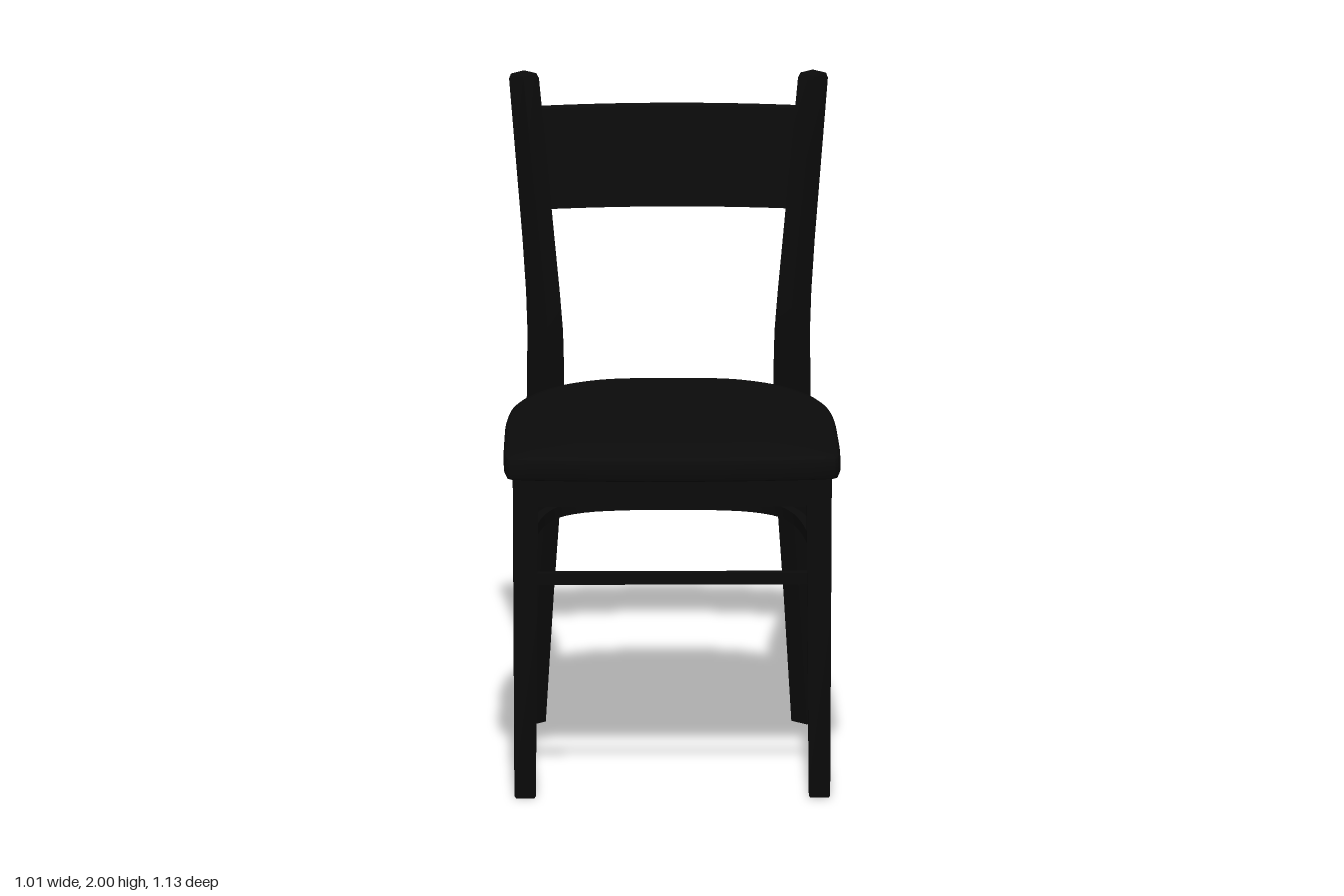
import * as THREE from 'three';
import { toCreasedNormals } from 'three/addons/utils/BufferGeometryUtils.js';

const V = (x, y, z) => new THREE.Vector3(x, y, z);

// Skin a list of equal-sized rings and cap both ends
function loft(rings, crease = 0.6) {
  const pos = [];
  const tri = (...pts) => pts.forEach(p => pos.push(p.x, p.y, p.z));
  const n = rings[0].length;
  const centre = r => r.reduce((s, p) => s.add(p), V(0, 0, 0)).divideScalar(n);
  const first = rings[0], last = rings[rings.length - 1];
  const c0 = centre(first), c1 = centre(last);
  for (let j = 0; j < n; j++) {
    const k = (j + 1) % n;
    for (let i = 0; i < rings.length - 1; i++) {
      const a = rings[i], b = rings[i + 1];
      tri(a[j], a[k], b[k]);
      tri(a[j], b[k], b[j]);
    }
    tri(c0, first[k], first[j]);
    tri(c1, last[j], last[k]);
  }
  const g = new THREE.BufferGeometry();
  g.setAttribute('position', new THREE.Float32BufferAttribute(pos, 3));
  return toCreasedNormals(g, crease);
}

// Rectangular post through stations [y, x, z, width, depth], turned about y
function post(stations, turn) {
  const axis = V(0, 1, 0);
  return loft(stations.map(([y, x, z, w, d]) =>
    [[-1, 1], [1, 1], [1, -1], [-1, -1]].map(([sx, sz]) =>
      V(sx * w / 2, 0, sz * d / 2).applyAxisAngle(axis, turn).add(V(x, y, z)))), 0.4);
}

// Flat-sided rail swept along a level curve
function rail(curve, steps, width, height) {
  const rings = [];
  for (let i = 0; i <= steps; i++) {
    const p = curve.getPointAt(i / steps);
    const across = V(0, 1, 0).cross(curve.getTangentAt(i / steps)).normalize();
    rings.push([[-1, -1], [1, -1], [1, 1], [-1, 1]].map(([a, b]) =>
      p.clone().addScaledVector(across, a * width / 2).add(V(0, b * height / 2, 0))));
  }
  return loft(rings);
}

// Smooth level curve through half a plan [x, z], mirrored about a middle point on x = 0
function mirroredCurve(half, middleZ, y) {
  const pts = [...half, [0, middleZ], ...half.map(([x, z]) => [-x, z]).reverse()];
  return new THREE.CatmullRomCurve3(pts.map(([x, z]) => V(x, y, z)), false, 'centripetal');
}

// Plan outline of the seat as [x, z], running from front left round the back to front right
function seatOutline() {
  const half = [[0.49, 0.54], [0.5, 0.525], [0.5, 0.2], [0.49, 0], [0.467, -0.14],
    [0.425, -0.25], [0.348, -0.36], [0.25, -0.43], [0.16, -0.46]];
  const out = mirroredCurve(half, -0.465, 0).getPoints(72).map(p => [p.x, p.z]);
  for (let i = 1; i < 12; i++) {
    const x = -0.49 + 0.98 * i / 12;
    out.push([x, 0.567 - 0.027 * (x / 0.49) ** 2]);
  }
  return out;
}

export function createModel() {
  const chair = new THREE.Group();
  chair.name = 'chair';
  const material = new THREE.MeshStandardMaterial({ color: 0x0b0b0b });
  const add = (name, geometry) => {
    const mesh = new THREE.Mesh(geometry, material);
    mesh.name = name;
    chair.add(mesh);
  };

  // Seat: rounded rim with a gently crowned top
  const outline = seatOutline();
  const seatRings = [[0.97, 0.985], [0.992, 0.99], [1, 1.0], [1, 1.04], [0.993, 1.051],
    [0.975, 1.058], [0.93, 1.062], [0.6, 1.07], [0.2, 1.073]];
  add('seat', loft(seatRings.map(([s, y]) =>
    outline.map(([x, z]) => V(x * s, y, 0.05 + (z - 0.05) * s)))));

  // Apron: hollow frame, straight at the front and sides, following the seat edge at the back
  const frame = (s, maxX, maxZ) => outline.map(([x, z]) => new THREE.Vector2(
    THREE.MathUtils.clamp(x * s, -maxX, maxX), Math.min(z * s, maxZ)));
  const apron = new THREE.Shape(frame(0.98, 0.46, 0.51));
  apron.holes.push(new THREE.Path(frame(0.91, 0.425, 0.475).reverse()));
  const apronGeometry = new THREE.ExtrudeGeometry(apron, { depth: 0.095, bevelEnabled: false });
  apronGeometry.rotateX(Math.PI / 2).translate(0, 0.993, 0);
  add('apron', toCreasedNormals(apronGeometry, 0.6));

  // Legs; the back pair are turned outward and carry on up as back posts
  for (const side of [1, -1]) {
    const name = side > 0 ? 'left' : 'right';
    add(name + 'FrontLeg', post([
      [0, side * 0.442, 0.495, 0.055, 0.06],
      [0.008, side * 0.442, 0.495, 0.064, 0.066],
      [0.99, side * 0.441, 0.493, 0.076, 0.076]], 0));
    // stations: height, x, z, radial depth
    const back = [[0, 0.413, -0.436, 0.06], [0.4, 0.394, -0.416, 0.073], [0.75, 0.376, -0.398, 0.09],
      [0.95, 0.371, -0.393, 0.094], [1.1, 0.37, -0.393, 0.092], [1.22, 0.371, -0.395, 0.086],
      [1.34, 0.378, -0.402, 0.078], [1.5, 0.391, -0.416, 0.071], [1.985, 0.434, -0.461, 0.062],
      [2, 0.435, -0.462, 0.052]];
    add(name + 'BackLeg', post(back.map(([y, x, z, d], i) =>
      [y, side * x, z, i === back.length - 1 ? 0.056 : 0.065, d]), -side * Math.PI / 4));
  }

  // Backrest: curved, leaning slat between the posts
  const slat = [];
  for (let i = 0; i <= 24; i++) {
    const u = -1 + i / 12;
    const z = 0.085 * u * u, lift = 0.012 * u * u;
    slat.push([V(0.4 * u, 1.577 + lift, z - 0.502), V(0.4 * u, 1.581 + lift, z - 0.528),
      V(0.4 * u, 1.882 + lift, z - 0.567), V(0.4 * u, 1.878 + lift, z - 0.541)]);
  }
  add('backrest', loft(slat));

  // Stretchers: a front bar and a bent hoop inside the back legs
  const bar = new THREE.LineCurve3(V(-0.43, 0.674, 0.493), V(0.43, 0.674, 0.493));
  add('frontStretcher', rail(bar, 1, 0.03, 0.035));
  const hoop = mirroredCurve([[0.44, 0.48], [0.43, 0.05], [0.405, -0.16], [0.38, -0.26],
    [0.335, -0.352], [0.25, -0.412], [0.12, -0.438]], -0.442, 0.674);
  add('hoopStretcher', rail(hoop, 64, 0.03, 0.035));

  return chair;
}
